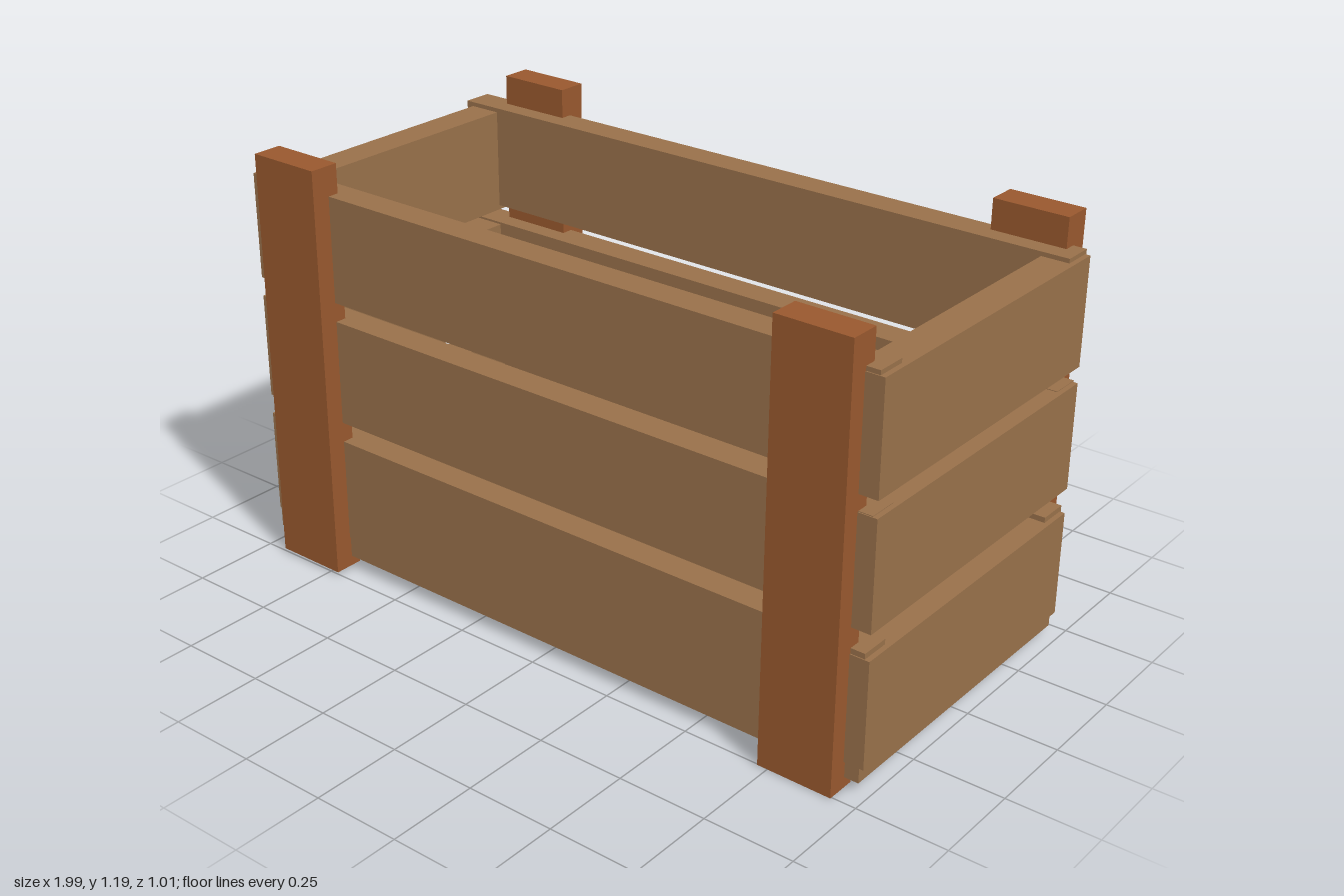
import * as THREE from 'three';

const plankMat = new THREE.MeshStandardMaterial({ color: 0x98704a, flatShading: true });
const postMat = new THREE.MeshStandardMaterial({ color: 0x98582e, flatShading: true });

export function createModel() {
  const crate = new THREE.Group();
  crate.name = 'woodenCrate';

  // One board from its min/max extents, leaning slightly about z
  function board(name, mat, [x0, x1], [y0, y1], [z0, z1], lean) {
    const mesh = new THREE.Mesh(new THREE.BoxGeometry(x1 - x0, y1 - y0, z1 - z0), mat);
    mesh.position.set((x0 + x1) / 2, (y0 + y1) / 2, (z0 + z1) / 2);
    mesh.rotation.z = lean;
    mesh.name = name;
    crate.add(mesh);
  }

  const lean = -0.0055;

  // Floor panel
  board('floor', plankMat, [-0.998, 0.973], [0.038, 0.12], [-0.452, 0.45], lean);

  // Three rows of planks: long sides, then the two ends
  [0.098, 0.452, 0.803].forEach((y, row) => {
    const shift = row * 0.002;
    for (const [name, z] of [['frontPlank', [0.37, 0.453]], ['backPlank', [-0.455, -0.37]]]) {
      board(name, plankMat, [-0.998 + shift, 0.975 + shift], [y, y + 0.297], z, lean);
    }
    const yl = [0.085, 0.45, 0.795][row];
    board('rightEndPlank', plankMat, [-0.972, -0.878], [yl, yl + 0.298], [-0.448, 0.448], lean);
    const yr = [0.079, 0.446, 0.787][row];
    board('leftEndPlank', plankMat, [0.898 + shift, 0.989 + shift], [yr, yr + 0.296], [-0.449, 0.456], lean);
  });

  // Four corner posts outside the long sides
  const front = [0.421, 0.505], back = [-0.506, -0.422];
  board('frontRightPost', postMat, [-0.925, -0.711], [0.014, 1.187], front, -0.009);
  board('backRightPost', postMat, [-0.891, -0.677], [0.014, 1.187], back, -0.011);
  board('frontLeftPost', postMat, [0.727, 0.938], [0.004, 1.178], front, -0.009);
  board('backLeftPost', postMat, [0.727, 0.938], [0.004, 1.178], back, -0.009);

  return crate;
}
